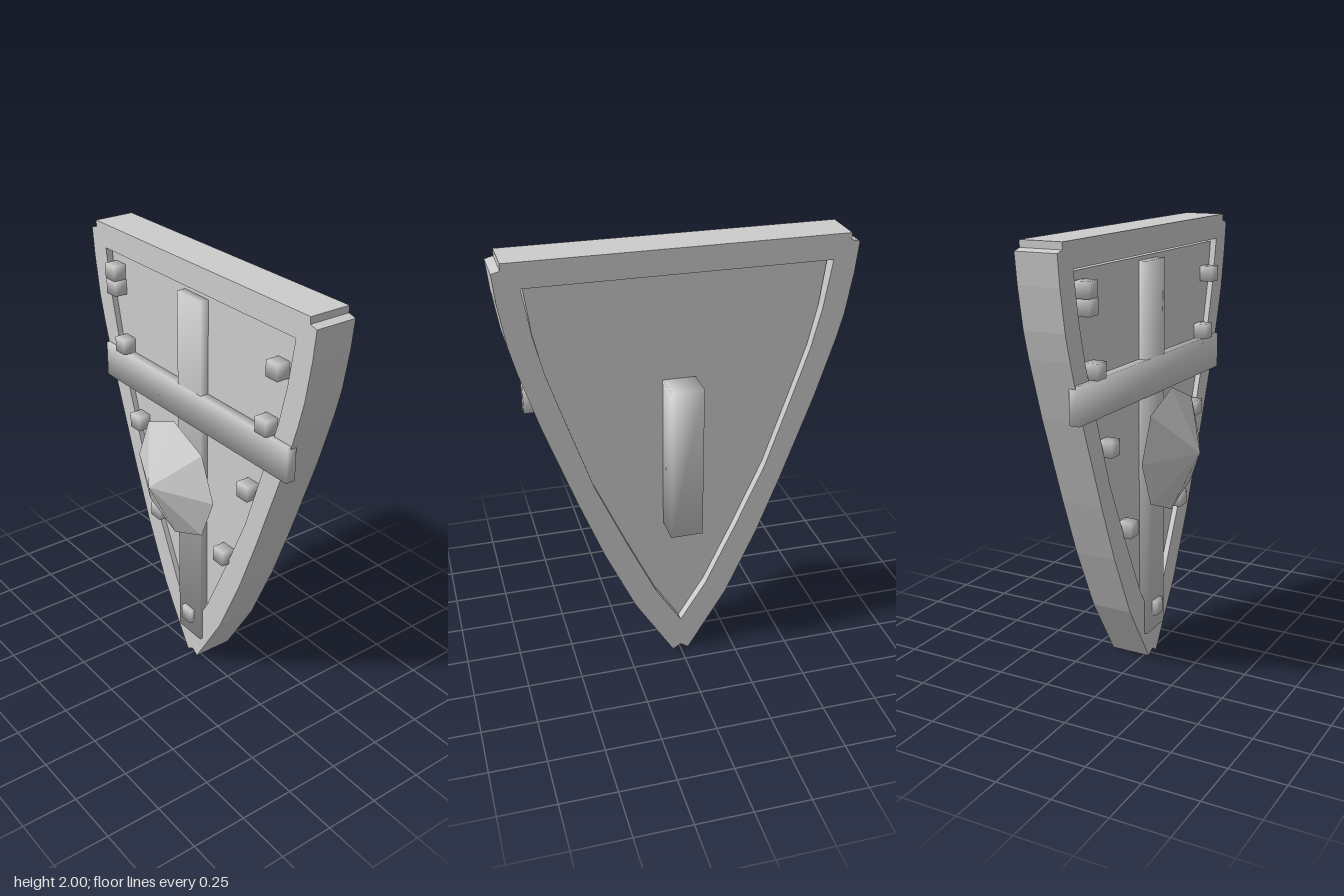
import * as THREE from 'three';

const steel = new THREE.MeshStandardMaterial({ color: 0xcccccc });
steel.name = 'grey steel';

// Right-hand edge points, top to bottom; mirrored into a closed outline
const outerEdge = [[0.73, 2], [0.73, 1.97], [0.767, 1.96], [0.753, 1.83], [0.722, 1.65], [0.69, 1.53],
  [0.655, 1.42], [0.607, 1.27], [0.462, 0.87], [0.357, 0.6], [0.218, 0.295], [0.037, 0], [0, 0.024]];
const innerEdge = [[0.655, 1.89], [0.62, 1.68], [0.575, 1.5], [0.497, 1.265], [0.39, 0.95],
  [0.252, 0.64], [0.12, 0.36], [0, 0.17]];

// Counter-clockwise closed outline
function outline(edge, Type = THREE.Shape) {
  const left = edge.filter(([x]) => x > 0).map(([x, y]) => [-x, y]).reverse();
  return new Type([...edge, ...left].reverse().map(([x, y]) => new THREE.Vector2(x, y)));
}

function slab(shape, z0, z1) {
  const g = new THREE.ExtrudeGeometry(shape, { depth: z1 - z0, bevelEnabled: false });
  return g.translate(0, 0, z0);
}

// Box whose normals point out through its corners, for a soft forged look
function softBox(w, h, d) {
  const g = new THREE.BoxGeometry(w, h, d);
  const { position: p, normal: n } = g.attributes;
  for (let i = 0; i < p.count; i++) n.setXYZ(i, Math.sign(p.getX(i)), Math.sign(p.getY(i)), Math.sign(p.getZ(i)));
  g.normalizeNormals();
  return g;
}

export function createModel() {
  const shield = new THREE.Group();
  shield.name = 'shield';
  const add = (name, geometry, x = 0, y = 0, z = 0) => {
    const mesh = new THREE.Mesh(geometry, steel);
    mesh.name = name;
    mesh.position.set(x, y, z);
    shield.add(mesh);
  };

  // Rim with an opening, and the recessed panel inside it
  const rim = outline(outerEdge);
  rim.holes.push(outline(innerEdge, THREE.Path));
  add('rim', slab(rim, -0.167, 0.025));
  const panelEdge = innerEdge.map(([x, y]) => [y > 1.6 ? x - 0.012 * (y - 1.6) / 0.29 : x, Math.min(y, 1.878)]);
  add('panel', slab(outline(panelEdge), -0.125, 0));

  // Crossed bars on the front, handle on the back
  add('crossBar', softBox(1.31, 0.165, 0.046), 0, 1.352, 0.018);
  add('uprightBar', softBox(0.165, 1.725, 0.046), 0, 0.998, 0.017);
  add('handle', softBox(0.145, 0.71, 0.15), 0, 1.055, -0.187);

  // Eight-sided boss: two cones sharing one rim
  const front = new THREE.ConeGeometry(0.283, 0.141, 8, 1, true).rotateX(Math.PI / 2);
  const back = new THREE.ConeGeometry(0.283, 0.05, 8, 1, true).rotateX(-Math.PI / 2);
  for (const [name, g, z] of [['bossFront', front, 0.1905], ['bossBack', back, 0.095]]) {
    const flat = g.toNonIndexed();
    flat.computeVertexNormals();
    add(name, flat, 0, 1.022, z);
  }

  // Rivets
  const rivet = softBox(0.07, 0.07, 0.08);
  for (const [x, y] of [[0.566, 1.735], [0.508, 1.47], [0.402, 1.12], [0.243, 0.71]])
    for (const side of [-1, 1]) add('rivet', rivet, side * x, y, 0.022);
  add('rivet', rivet, -0.572, 1.805, 0.022);
  add('rivet', rivet, 0, 0.247, 0.022);

  return shield;
}
